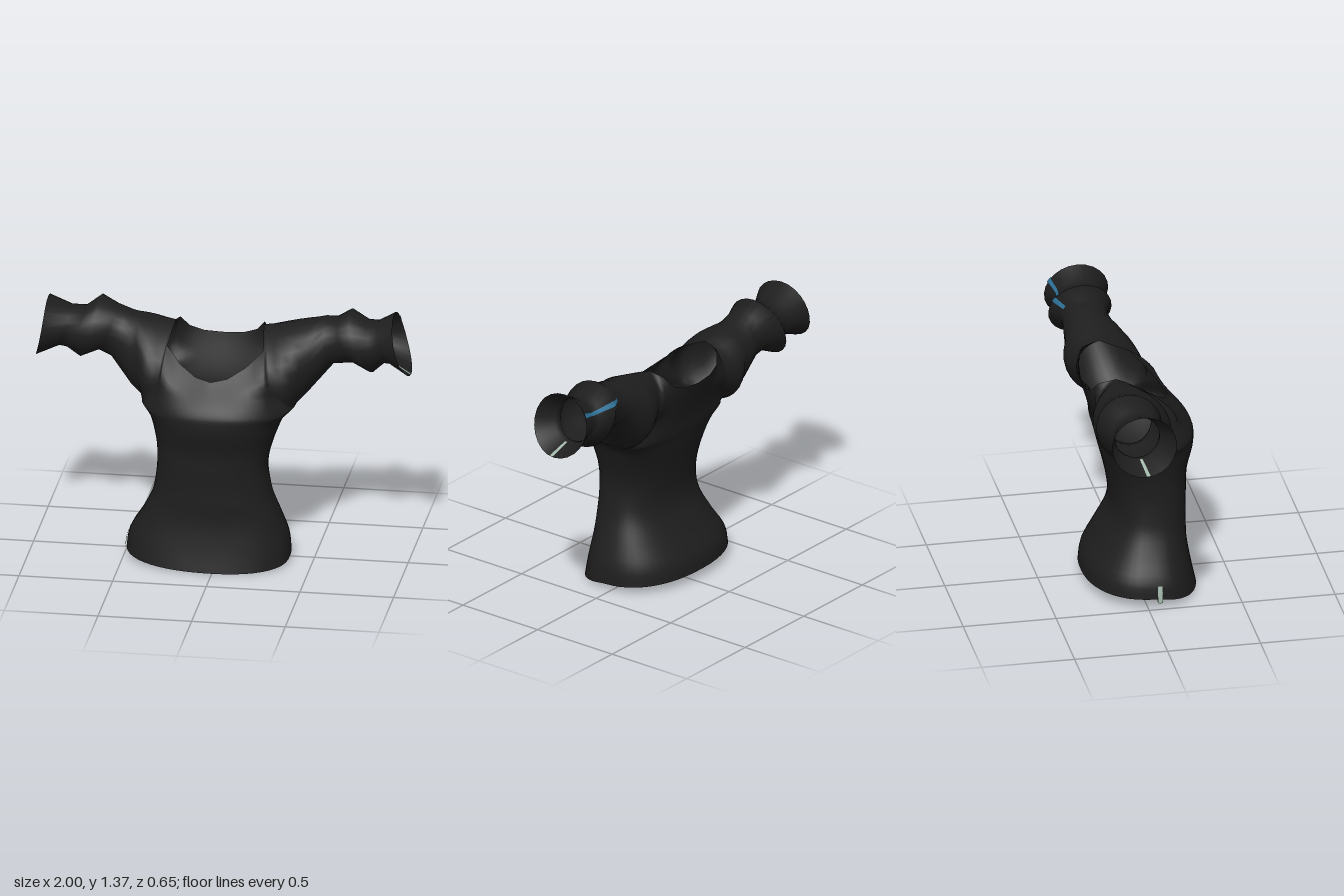
import * as THREE from 'three';
import { mergeVertices, mergeGeometries } from 'three/addons/utils/BufferGeometryUtils.js';

const M = 24; // columns across the front or back
const K = 12; // steps from armpit to shoulder
const V = (x, y, z) => new THREE.Vector3(x, y, z);
const steps = (n, f) => Array.from({ length: n + 1 }, (_, i) => f(i / n, i));
const { smoothstep } = THREE.MathUtils;

// Surface through rows of points
function grid(rows) {
  const w = rows[0].length, index = [];
  for (let j = 0; j < rows.length - 1; j++)
    for (let i = 0; i < w - 1; i++) {
      const a = j * w + i, b = a + w;
      index.push(a, a + 1, b, a + 1, b + 1, b);
    }
  const g = new THREE.BufferGeometry().setFromPoints(rows.flat());
  g.setIndex(index);
  return g;
}

// Torso sections: y, right x, left x, front z, back z, side z
const sections = [
  [0.03, -0.49, 0.38, 0.32, -0.28, 0.055],
  [0.13, -0.475, 0.37, 0.295, -0.265, 0.055],
  [0.25, -0.41, 0.33, 0.275, -0.2, 0.055],
  [0.36, -0.355, 0.29, 0.275, -0.14, 0.06],
  [0.45, -0.335, 0.27, 0.275, -0.12, 0.06],
  [0.55, -0.325, 0.26, 0.28, -0.13, 0.06],
  [0.65, -0.33, 0.28, 0.285, -0.15, 0.05],
  [0.75, -0.35, 0.315, 0.312, -0.175, 0.03],
  [0.81, -0.375, 0.345, 0.322, -0.188, 0],
  [0.86, -0.42, 0.4, 0.32, -0.2, -0.04],
];

// Sections smoothed along the height
const spline = (k) => new THREE.CatmullRomCurve3(sections.map((s) => V(s[k], s[k + 1], s[k + 2])), false, 'catmullrom');
const widths = spline(0), depths = spline(3);
const torso = steps(27, (t) => [...widths.getPoint(t).toArray(), ...depths.getPoint(t).toArray()]);

// Half of a torso row: side 1 is the front (right to left), -1 the back (left to right)
function halfRow([y, xr, xl, zf, zb, zs], side) {
  const tilt = Math.max(0, 1 - (y - 0.03) / 0.2);
  const power = side > 0 ? 0.8 : 0.8 - 0.25 * smoothstep(y, 0.5, 0.86);
  return steps(M, (s) => {
    const c = -Math.cos(Math.PI * s) * side;
    const d = Math.pow(Math.max(0, Math.sin(Math.PI * s)), power);
    const x = (xr + xl) / 2 + Math.sign(c) * Math.pow(Math.abs(c), 0.9) * (xl - xr) / 2;
    const dip = side > 0 ? -0.04 : 0.012;
    return V(x, y + tilt * (0.012 + dip * d - 0.012 * c), zs + d * ((side > 0 ? zf : zb) - zs));
  });
}

// Sleeve stations: top x, bottom x, top y, bottom y, front z, back z, forward lean of the underside
const rightSleeve = [
  [-0.46, -0.42, 1.28, 0.86, 0.085, -0.265, 0.04],
  [-0.49, -0.48, 1.285, 0.9, 0.05, -0.262, 0.03],
  [-0.52, -0.6, 1.295, 1.04, 0, -0.26, 0.01],
  [-0.57, -0.67, 1.315, 1.065, -0.01, -0.265, 0],
  [-0.66, -0.77, 1.355, 1.02, 0.03, -0.325, 0],
  [-0.74, -0.84, 1.3, 1.075, 0, -0.255, 0],
  [-0.82, -0.88, 1.3, 1.08, -0.01, -0.25, 0],
  [-0.94, -1.0, 1.35, 1.03, 0.06, -0.29, 0],
];
const leftSleeve = [
  [0.46, 0.4, 1.3, 0.86, 0.085, -0.265, 0.04],
  [0.5, 0.46, 1.305, 0.92, 0.045, -0.26, 0.03],
  [0.54, 0.59, 1.315, 1.07, 0, -0.255, 0.01],
  [0.6, 0.7, 1.32, 1.08, 0, -0.25, 0],
  [0.67, 0.8, 1.36, 1.03, 0.04, -0.3, 0],
  [0.76, 0.86, 1.31, 1.085, 0, -0.255, 0],
  [0.82, 0.9, 1.31, 1.085, 0, -0.25, 0],
  [0.91, 1.0, 1.365, 1.03, 0.065, -0.28, 0],
];

// Point on a sleeve station: angle 0 is the underside, PI the top, PI / 2 the front
function sleevePoint([xt, xb, yt, yb, zf, zb, lean], angle, scale = 1) {
  const c = -Math.cos(angle), d = Math.sin(angle);
  return V(((xt + xb) / 2 + c * (xt - xb) / 2) * (1 - 0.015 * d * d),
    (yt + yb) / 2 + c * scale * (yt - yb) / 2,
    (zf + zb) / 2 + d * scale * (zf - zb) / 2 - c * lean);
}
const sleeveRing = (st) => steps(2 * K, (t) => sleevePoint(st, t * 2 * Math.PI));

// Shoulder line and neckline, from the right armhole to the centre
const shoulder = [[-0.46, 1.28, -0.13], [-0.36, 1.27, -0.13], [-0.26, 1.255, -0.13]];
const neckFront = [[-0.28, 1.17, 0.04], [-0.2, 1.1, 0.115], [-0.11, 1.05, 0.165], [-0.025, 1.035, 0.19]];
const neckBack = [[-0.25, 1.235, -0.22], [-0.205, 1.175, -0.255], [-0.13, 1.147, -0.268], [-0.025, 1.14, -0.274]];

function topRow(side) {
  const half = [...shoulder, ...(side > 0 ? neckFront : neckBack)].map((p) => V(...p));
  const other = half.slice(0, -1).reverse().map((p) => V(-0.05 - p.x, p.y, p.z));
  other[other.length - 1].set(0.46, 1.3, -0.13);
  const pts = [...half, ...other];
  if (side < 0) pts.reverse();
  return steps(M, (s) => {
    const t = s * 12, i = Math.min(11, Math.floor(t + 1e-6));
    return pts[i].clone().lerp(pts[i + 1], t - i);
  });
}

// Chest or back panel, stretched between the two armholes and rounded into the torso
function panel(side) {
  const low = halfRow(torso[torso.length - 1], side), high = topRow(side);
  const [startArm, endArm] = side > 0 ? [rightSleeve[0], leftSleeve[0]] : [leftSleeve[0], rightSleeve[0]];
  return grid(steps(K, (v) => {
    const bulge = (arm, i) => sleevePoint(arm, side * Math.PI * v).sub(low[i].clone().lerp(high[i], v));
    const a = bulge(startArm, 0), b = bulge(endArm, M);
    const reach = 0.16 + 0.22 * smoothstep(v, 0, 0.6);
    return steps(M, (s, i) => {
      const p = low[i].clone().lerp(high[i], v)
        .addScaledVector(a, 1 - smoothstep(s, 0, reach))
        .addScaledVector(b, 1 - smoothstep(1 - s, 0, reach));
      p.z += 0.7 * Math.sin(Math.PI * s) * v * (1 - v) ** 2 * (low[i].z - high[i].z);
      return p;
    });
  }));
}

// Thin strip along a sleeve
const sleeveStrip = (stations, a0, a1, scale) =>
  grid(stations.map((st) => [sleevePoint(st, a0, scale), sleevePoint(st, a1, scale)]));

export function createModel() {
  const group = new THREE.Group();
  const mat = (name, color) => {
    const m = new THREE.MeshStandardMaterial({ color, side: THREE.DoubleSide });
    m.name = name;
    return m;
  };
  const black = mat('black cloth', 0x1e1e1e);
  const pale = mat('pale green', 0x9fb5a8);
  const blue = mat('blue', 0x2f7399);
  const add = (name, geometry, material) => {
    geometry.computeVertexNormals();
    const mesh = new THREE.Mesh(geometry, material);
    mesh.name = name;
    group.add(mesh);
  };

  // Blouse: torso, chest, back and sleeves welded into one smooth cloth
  const cloth = mergeGeometries([
    grid(torso.map((r) => halfRow(r, 1))),
    grid(torso.map((r) => halfRow(r, -1))),
    panel(1),
    panel(-1),
    grid(rightSleeve.map(sleeveRing)),
    grid(leftSleeve.map((st) => sleeveRing(st).reverse())),
  ]);
  add('blouse', mergeVertices(cloth, 1e-4), black);

  // Small coloured seam strips, at the hem on the outside and the lining
  for (const [name, x] of [['hemStrip', -0.499], ['hemLiningStrip', -0.48]])
    add(name, grid([0, 0.5, 1].map((t) => [0.05, 0.075].map((z) =>
      V(x + 0.004 * t + 0.013 * t * t, 0.035 + 0.09 * t, z)))), pale);
  add('rightCuffStrip', sleeveStrip(rightSleeve.slice(-2), 0.03, 0.15, 0.97), pale);
  add('leftCuffStrip', sleeveStrip(leftSleeve.slice(-2), 0.03, 0.15, 0.97), pale);
  add('leftSleeveStrip', sleeveStrip(leftSleeve.slice(-5), 4.08, 4.26, 1.03), blue);
  add('leftSleeveLiningStrip', sleeveStrip(leftSleeve.slice(-3, -1), 4.08, 4.26, 0.96), blue);
  return group;
}
